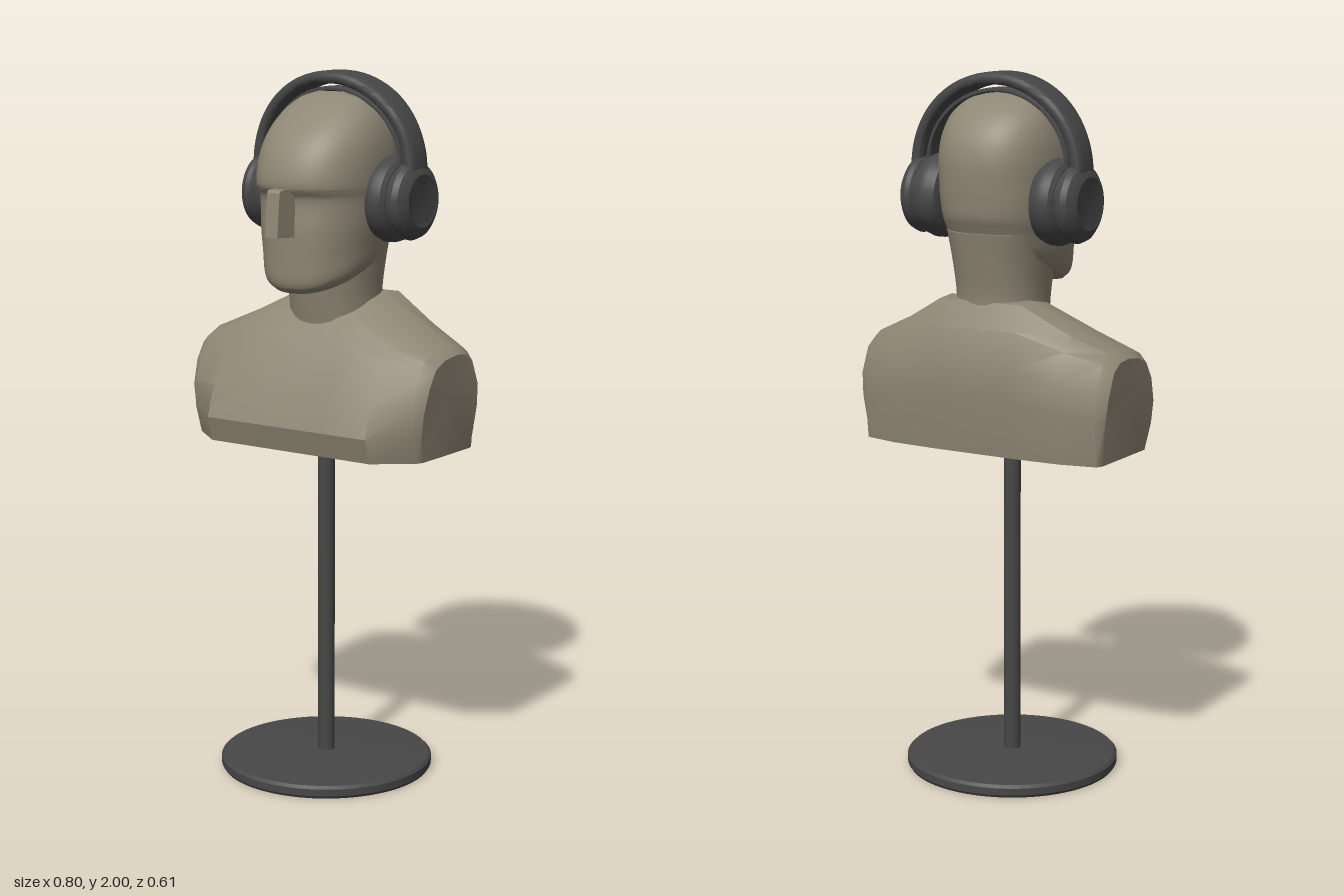
import * as THREE from 'three';
import { toCreasedNormals } from 'three/addons/utils/BufferGeometryUtils.js';

// Skin a list of equal-length closed rings of Vector3, capped at both ends
function loft(rings, crease = 0.6) {
  const n = rings[0].length, pos = [], idx = [];
  rings.forEach(r => r.forEach(p => pos.push(p.x, p.y, p.z)));
  for (let i = 0; i < rings.length - 1; i++)
    for (let j = 0; j < n; j++) {
      const a = i * n + j, b = i * n + (j + 1) % n;
      idx.push(a, b, b + n, a, b + n, a + n);
    }
  [0, rings.length - 1].forEach((k, end) => {
    const c = new THREE.Vector3();
    rings[k].forEach(p => c.addScaledVector(p, 1 / n));
    const ci = pos.length / 3;
    pos.push(c.x, c.y, c.z);
    for (let j = 0; j < n; j++) {
      const a = k * n + j, b = k * n + (j + 1) % n;
      if (end) idx.push(a, b, ci); else idx.push(b, a, ci);
    }
  });
  // turn the faces outward if the enclosed volume is negative
  const v = i => new THREE.Vector3().fromArray(pos, i * 3);
  let vol = 0;
  for (let i = 0; i < idx.length; i += 3)
    vol += v(idx[i]).dot(v(idx[i + 1]).cross(v(idx[i + 2])));
  if (vol < 0) idx.reverse();
  const g = new THREE.BufferGeometry();
  g.setAttribute('position', new THREE.Float32BufferAttribute(pos, 3));
  g.setIndex(idx);
  return toCreasedNormals(g, crease);
}

// Add smooth in-between rings
function refine(rings, steps) {
  const curves = rings[0].map((_, j) => new THREE.CatmullRomCurve3(rings.map(r => r[j])));
  return Array.from({ length: steps + 1 }, (_, i) => curves.map(c => c.getPoint(i / steps)));
}

// Rounded horizontal ring, optionally rising toward the back
function ring(y, w, zf, zb, tilt = 0, e = 2.3, n = 48) {
  const pow = t => Math.sign(t) * Math.pow(Math.abs(t), 2 / e);
  return Array.from({ length: n }, (_, i) => {
    const a = i / n * Math.PI * 2;
    const z = (zf + zb) / 2 + (zf - zb) / 2 * pow(Math.cos(a));
    return new THREE.Vector3(w * pow(Math.sin(a)), y + tilt * (zf - z), z);
  });
}

export function createModel() {
  const model = new THREE.Group();
  const clay = new THREE.MeshStandardMaterial({ color: 0x8f8775 });
  clay.name = 'warm grey clay';
  const dark = new THREE.MeshStandardMaterial({ color: 0x474747 });
  dark.name = 'charcoal';
  const add = (name, geo, mat, parent = model) => {
    const m = new THREE.Mesh(geo, mat);
    m.name = name;
    parent.add(m);
    return m;
  };
  const lathe = pts => toCreasedNormals(
    new THREE.LatheGeometry(pts.map(p => new THREE.Vector2(...p)), 64), 0.5);

  // Stand
  add('base', lathe([[0, 0], [0.3, 0], [0.305, 0.008], [0.305, 0.028], [0.297, 0.036], [0, 0.044]]), dark);
  add('pole', new THREE.CylinderGeometry(0.024, 0.024, 0.95, 32).translate(0, 0.505, 0), dark);

  // Torso: (z, y) sections from the middle out to the shoulder
  const middle = [[0.18, 0.96], [0.2, 1.03], [0.165, 1.13], [0.095, 1.27], [0.053, 1.33], [-0.03, 1.37],
    [-0.11, 1.385], [-0.17, 1.38], [-0.205, 1.31], [-0.23, 1.21], [-0.228, 1.12], [-0.207, 0.96]];
  const chest = [[0.18, 0.96], [0.2, 1.03], [0.172, 1.12], [0.115, 1.22], [0.075, 1.265], [0, 1.3],
    [-0.08, 1.312], [-0.14, 1.302], [-0.18, 1.265], [-0.214, 1.18], [-0.218, 1.1], [-0.2, 0.96]];
  const shoulder = [[0.1, 0.96], [0.125, 1.04], [0.125, 1.11], [0.1, 1.185], [0.065, 1.235], [0.01, 1.258],
    [-0.06, 1.265], [-0.11, 1.26], [-0.15, 1.235], [-0.185, 1.16], [-0.192, 1.09], [-0.178, 0.96]];
  const section = (pts, x) => pts.map(([z, y]) => new THREE.Vector3(x, y, z));
  const cap = s => shoulder.map(([z, y]) => new THREE.Vector3(
    s * (0.4 - 0.1 * Math.max(0, 1.15 - y)), 0.96 + (y - 0.96) * 0.92, -0.035 + (z + 0.035) * 0.86));
  add('torso', loft([cap(-1), section(shoulder, -0.372), section(chest, -0.27), section(middle, -0.13),
    section(middle, 0.13), section(chest, 0.27), section(shoulder, 0.372), cap(1)], 0.55), clay);

  // Neck
  add('neck', loft(refine([ring(1.27, 0.128, 0.062, -0.18), ring(1.38, 0.124, 0.085, -0.175),
    ring(1.47, 0.13, 0.1, -0.19), ring(1.57, 0.14, 0.09, -0.21)], 12)), clay);

  // Head from the slanted jaw up to the crown
  add('head', loft(refine([
    ring(1.402, 0.132, 0.163, -0.185, 0.36), ring(1.42, 0.148, 0.183, -0.192, 0.36),
    ring(1.5, 0.158, 0.19, -0.206, 0.22), ring(1.58, 0.167, 0.192, -0.217, 0.08),
    ring(1.665, 0.173, 0.19, -0.224), ring(1.695, 0.175, 0.207, -0.227),
    ring(1.77, 0.175, 0.192, -0.228), ring(1.83, 0.166, 0.155, -0.212),
    ring(1.885, 0.143, 0.095, -0.173), ring(1.925, 0.1, 0.035, -0.115),
    ring(1.943, 0.045, -0.005, -0.065)], 50), 0.7), clay);

  // Nose: a wedge that narrows toward its ridge
  const noseShape = [[0.17, 1.56], [0.258, 1.565], [0.246, 1.685], [0.238, 1.692], [0.17, 1.692]];
  const side = s => noseShape.map(([z, y]) => new THREE.Vector3(s * (z > 0.2 ? 0.021 : 0.031), y, z));
  add('nose', loft([side(-1), side(1)], 0.3), clay);

  // Headphones
  const headphones = new THREE.Group();
  headphones.name = 'headphones';
  model.add(headphones);

  // Arched strap with a rounded section; width and thickness follow the angle
  function strap(rx, ry, cy, maxAngle, width, thick) {
    const rings = [];
    for (let i = 0; i <= 48; i++) {
      const a = (i / 24 - 1) * maxAngle, w = width(Math.abs(a)) / 2, t = thick / 2;
      rings.push(Array.from({ length: 20 }, (_, k) => {
        const b = k / 20 * Math.PI * 2, c = Math.cos(b), s = Math.sin(b);
        const d = t * Math.sign(s) * Math.pow(Math.abs(s), 0.5);
        return new THREE.Vector3((rx + d) * Math.sin(a), cy + (ry + d) * Math.cos(a),
          -0.05 - 0.01 * Math.abs(Math.sin(a)) + w * Math.sign(c) * Math.pow(Math.abs(c), 0.5));
      }));
    }
    return loft(rings, 0.8);
  }
  add('headband', strap(0.256, 0.246, 1.736, 1.75,
    a => 0.078 + 0.036 * Math.pow(Math.max(0, Math.cos(a)), 1.5) + 0.02 * Math.max(0, a - 1.2), 0.036), dark, headphones);
  add('innerStrap', strap(0.222, 0.205, 1.745, 1.65, () => 0.06, 0.014), dark, headphones);

  // Ear cups: soft pad, groove and outer shell, mirrored
  for (const s of [1, -1]) {
    const cup = new THREE.Group();
    cup.name = s > 0 ? 'leftEarCup' : 'rightEarCup';
    cup.position.set(0, 1.653, -0.06);
    cup.rotation.z = -s * Math.PI / 2;
    headphones.add(cup);
    add('earPad', lathe([[0, 0.14], [0.08, 0.14], [0.108, 0.152], [0.118, 0.175], [0.118, 0.195],
      [0.112, 0.212], [0.1, 0.222], [0, 0.222]]), dark, cup);
    add('earShell', lathe([[0, 0.21], [0.096, 0.21], [0.097, 0.226], [0.106, 0.234], [0.109, 0.248],
      [0.102, 0.264], [0.086, 0.276], [0.072, 0.282], [0.066, 0.28], [0, 0.28]]), dark, cup);
  }
  return model;
}
